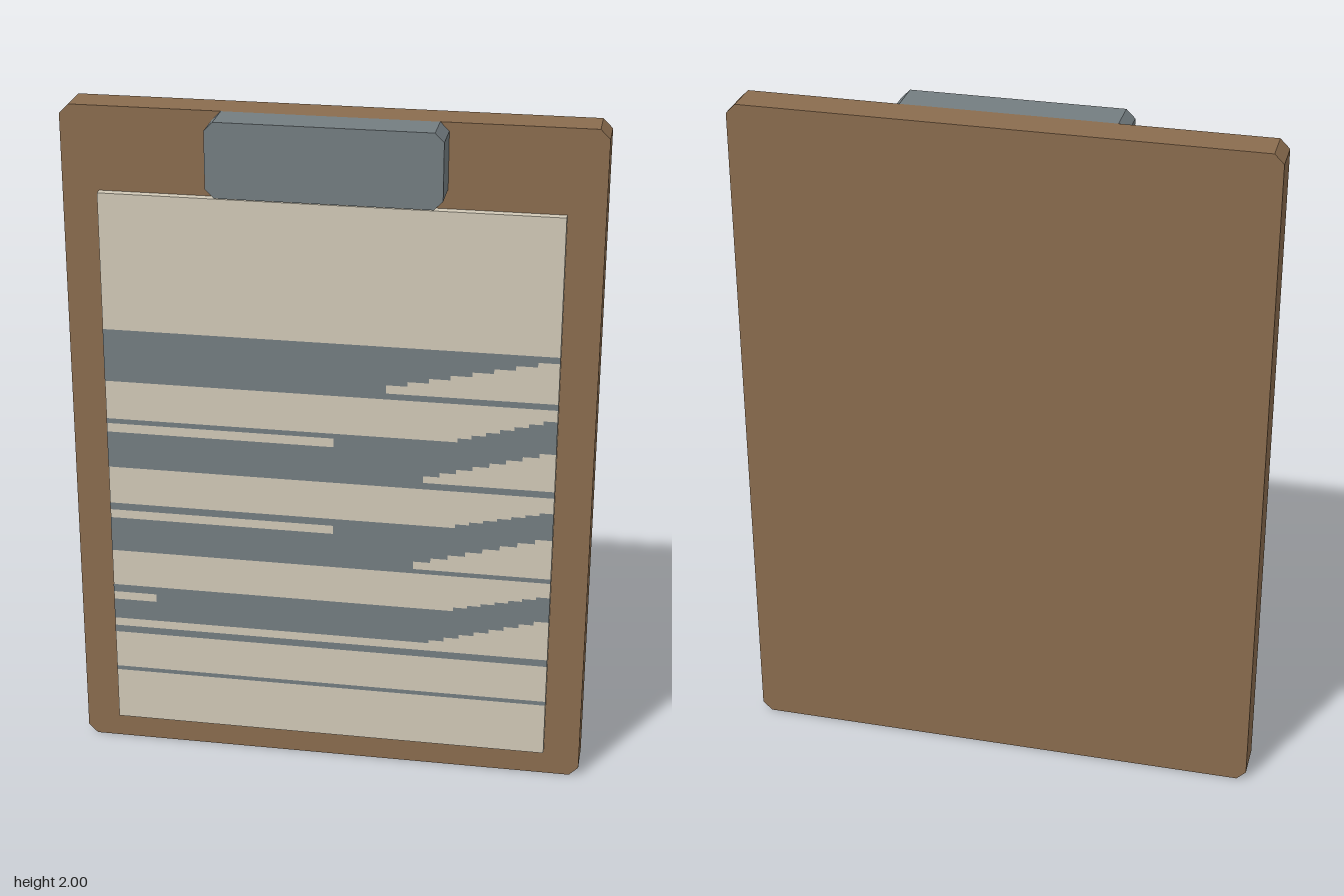
import * as THREE from 'three';

const material = (name, color) => {
  const m = new THREE.MeshStandardMaterial({ color });
  m.name = name;
  return m;
};

// Box with four chamfered corners, extruded from z0 to z1
function chamferedSlab(halfWidth, y0, y1, z0, z1, c) {
  const w = halfWidth;
  const shape = new THREE.Shape([
    [-w + c, y0], [w - c, y0], [w, y0 + c], [w, y1 - c],
    [w - c, y1], [-w + c, y1], [-w, y1 - c], [-w, y0 + c],
  ].map(([x, y]) => new THREE.Vector2(x, y)));
  const geometry = new THREE.ExtrudeGeometry(shape, { depth: z1 - z0, bevelEnabled: false });
  return geometry.translate(0, 0, z0);
}

// Staircase of points between two corners
function stairs(x0, y0, x1, y1, steps) {
  const points = [];
  for (let i = 0; i < steps; i++) {
    const y = y0 + (y1 - y0) * i / (steps - 1);
    points.push([x0 + (x1 - x0) * i / steps, y], [x0 + (x1 - x0) * (i + 1) / steps, y]);
  }
  return points;
}

export function createModel() {
  const group = new THREE.Group();
  const wood = material('wood', 0x8a6c4e);
  const paper = material('paper', 0xd1c9b7);
  const steel = material('greySteel', 0x747d81);
  const add = (name, geometry, mat) => {
    const mesh = new THREE.Mesh(geometry, mat);
    mesh.name = name;
    group.add(mesh);
  };

  // Board, clip and paper pad
  add('board', chamferedSlab(0.755, 0, 2, -0.108, 0, 0.027), wood);
  add('clip', chamferedSlab(0.325, 1.787, 2, 0, 0.108, 0.025), steel);
  add('paperPad', new THREE.BoxGeometry(1.3, 1.675, 0.025).translate(0, 0.92, 0.0125), paper);

  // Printed marks lie just above the paper
  const L = -0.65, R = 0.65;
  const mark = (name, points) => {
    const shape = new THREE.Shape(points.map(([x, y]) => new THREE.Vector2(x, y)));
    add(name, new THREE.ShapeGeometry(shape).translate(0, 0, 0.027), steel);
  };
  const bar = (name, y0, y1) => mark(name, [[L, y0], [R, y0], [R, y1], [L, y1]]);

  // Top band, cut back by a stepped wedge
  mark('band1', [[L, 1.212], [0.165, 1.212], [0.165, 1.238],
    ...stairs(0.165, 1.238, R, 1.335, 8), [R, 1.354], [L, 1.354]]);
  bar('line1', 1.195, 1.213);

  // Lower bands: body, stepped upper and lower edges, slot on the left
  const bands = [
    { top: 1.078, slot: [1.063, 1.036, 0.015], low: 0.943, high: 0.965, cut: 0.275, lowEnd: 1.06, topEnd: 1.16 },
    { top: 0.808, slot: [0.786, 0.76, 0.015], low: 0.665, high: 0.69, cut: 0.25, lowEnd: 0.79, topEnd: 0.875 },
    { top: 0.538, slot: [0.514, 0.489, -0.52], low: 0.425, high: 0.435, cut: 0.3, lowEnd: 0.525, topEnd: 0.605 },
  ];
  bands.forEach((b, i) => {
    const [slotTop, slotLow, slotEnd] = b.slot;
    mark(`band${i + 2}`, [
      [L, b.low], [b.cut, b.low], ...stairs(b.cut, b.high, R, b.lowEnd, 8),
      ...stairs(0.37, b.top + 0.012, R, b.topEnd, 7).reverse(), [0.37, b.top],
      [L, b.top], [L, slotTop], [slotEnd, slotTop], [slotEnd, slotLow], [L, slotLow],
    ]);
  });

  // Thin ruled lines
  bar('line2', 0.924, 0.944);
  bar('line3', 0.652, 0.666);
  bar('line4', 0.378, 0.4);
  bar('line5', 0.247, 0.26);
  return group;
}
